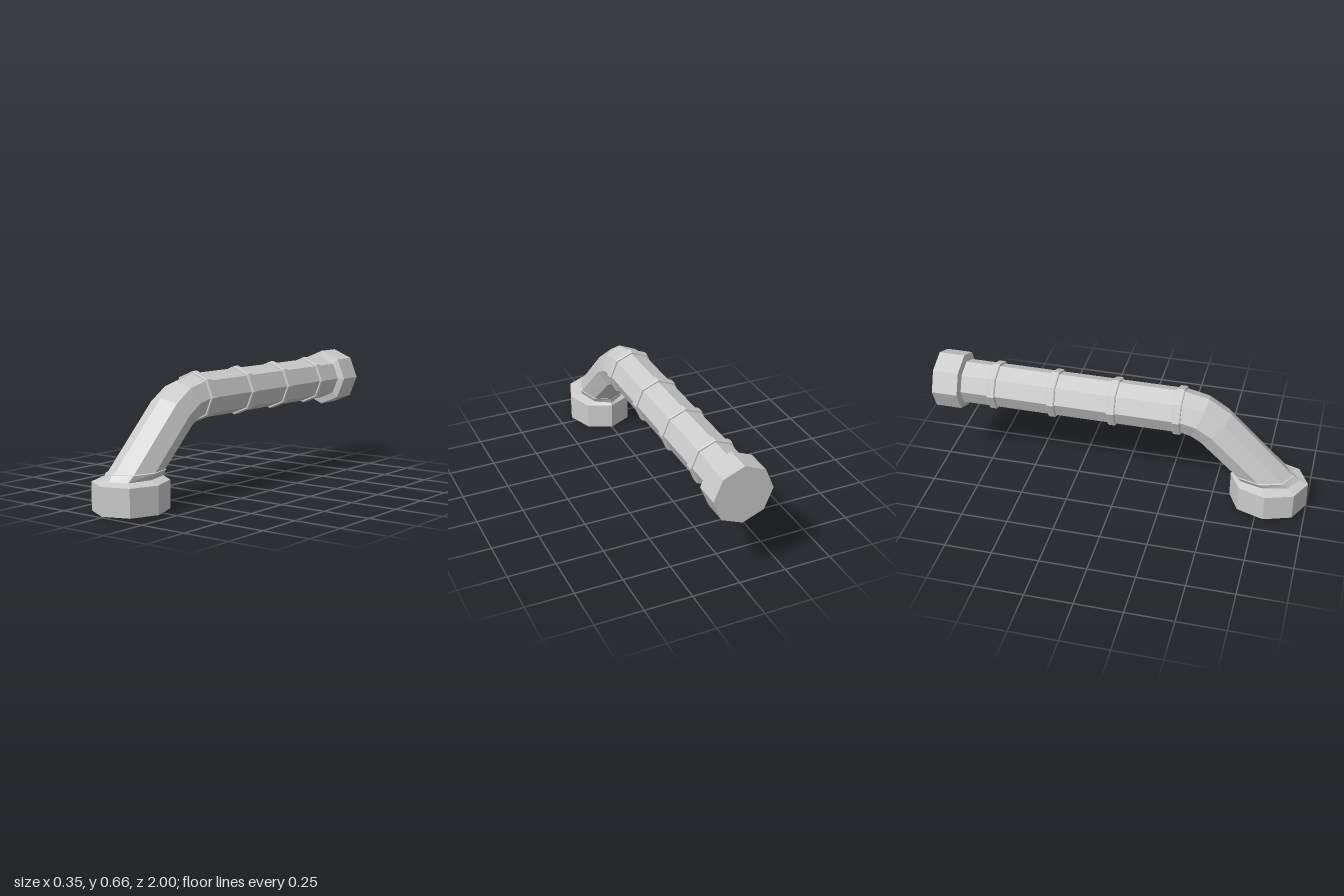
import * as THREE from 'three';

const SIDES = 8;
const AXIS_Y = 0.507;
const PIPE_R = 0.118;

// One eight-sided section: centre (y, z), half width rx, and the section's other half axis (vy, vz).
// tilt lowers the +x side a little.
const ring = (y, z, rx, vy, vz, tilt = 0) => ({ y, z, rx, vy, vz, tilt });
// Upright section on the straight run.
const straight = (z, r) => ring(AXIS_Y, z, r, r, 0);
// Section of the bend, leaning by an angle in degrees.
const leaning = (y, z, deg) => {
  const a = THREE.MathUtils.degToRad(deg);
  return ring(y, z, PIPE_R, PIPE_R * Math.cos(a), PIPE_R * Math.sin(a));
};

// Skins a row of sections with flat faces, optionally closing the first one.
function loft(name, rings, material, capStart = false) {
  const pos = [];
  const point = (r, j) => {
    const a = (j / SIDES) * Math.PI * 2;
    const x = r.rx * Math.cos(a);
    const s = Math.sin(a);
    return [x, r.y + r.vy * s - r.tilt * x, r.z + r.vz * s];
  };
  for (let i = 0; i < rings.length - 1; i++) {
    for (let j = 0; j < SIDES; j++) {
      const a = point(rings[i], j), b = point(rings[i], j + 1);
      const c = point(rings[i + 1], j + 1), d = point(rings[i + 1], j);
      pos.push(...a, ...b, ...c, ...a, ...c, ...d);
    }
  }
  if (capStart) {
    const r = rings[0];
    for (let j = 0; j < SIDES; j++) pos.push(0, r.y, r.z, ...point(r, j + 1), ...point(r, j));
  }
  const geometry = new THREE.BufferGeometry();
  geometry.setAttribute('position', new THREE.Float32BufferAttribute(pos, 3));
  geometry.computeVertexNormals();
  const mesh = new THREE.Mesh(geometry, material);
  mesh.name = name;
  return mesh;
}

export function createModel() {
  const group = new THREE.Group();
  group.name = 'pipe';
  const grey = new THREE.MeshStandardMaterial({
    color: 0xcccccc, flatShading: true, side: THREE.DoubleSide,
  });

  // Straight run, bend and slanted descent, cut level at the collar
  group.add(loft('pipeBody', [
    straight(-0.87, PIPE_R),
    straight(0.33, PIPE_R),
    leaning(0.488, 0.412, 22.5),
    leaning(0.439, 0.492, 45),
    ring(0.188, 0.755, PIPE_R, 0, 0.162),
  ], grey));

  // Closed coupling at the back
  group.add(loft('backCoupling', [
    straight(-1, 0.155),
    straight(-0.862, 0.155),
    straight(-0.853, PIPE_R),
  ], grey, true));

  // Raised bands along the straight run
  for (const z of [-0.685, -0.36, -0.037, 0.308]) {
    group.add(loft('band', [
      straight(z - 0.021, PIPE_R - 0.002),
      straight(z - 0.021, 0.126),
      straight(z - 0.016, 0.13),
      straight(z + 0.016, 0.13),
      straight(z + 0.021, 0.126),
      straight(z + 0.021, PIPE_R - 0.002),
    ], grey));
  }

  // Collar and open-bottomed coupling at the front
  group.add(loft('frontCollar', [
    ring(0.192, 0.755, 0.117, 0, 0.16),
    ring(0.189, 0.757, 0.125, 0, 0.168),
    ring(0.161, 0.777, 0.112, 0, 0.176, 0.026),
  ], grey));
  group.add(loft('frontCoupling', [
    ring(0.161, 0.777, 0.112, 0, 0.176, 0.026),
    ring(0.147, 0.795, 0.174, 0, 0.205, 0.026),
    ring(0.005, 0.795, 0.174, 0, 0.205, 0.026),
  ], grey));

  return group;
}
